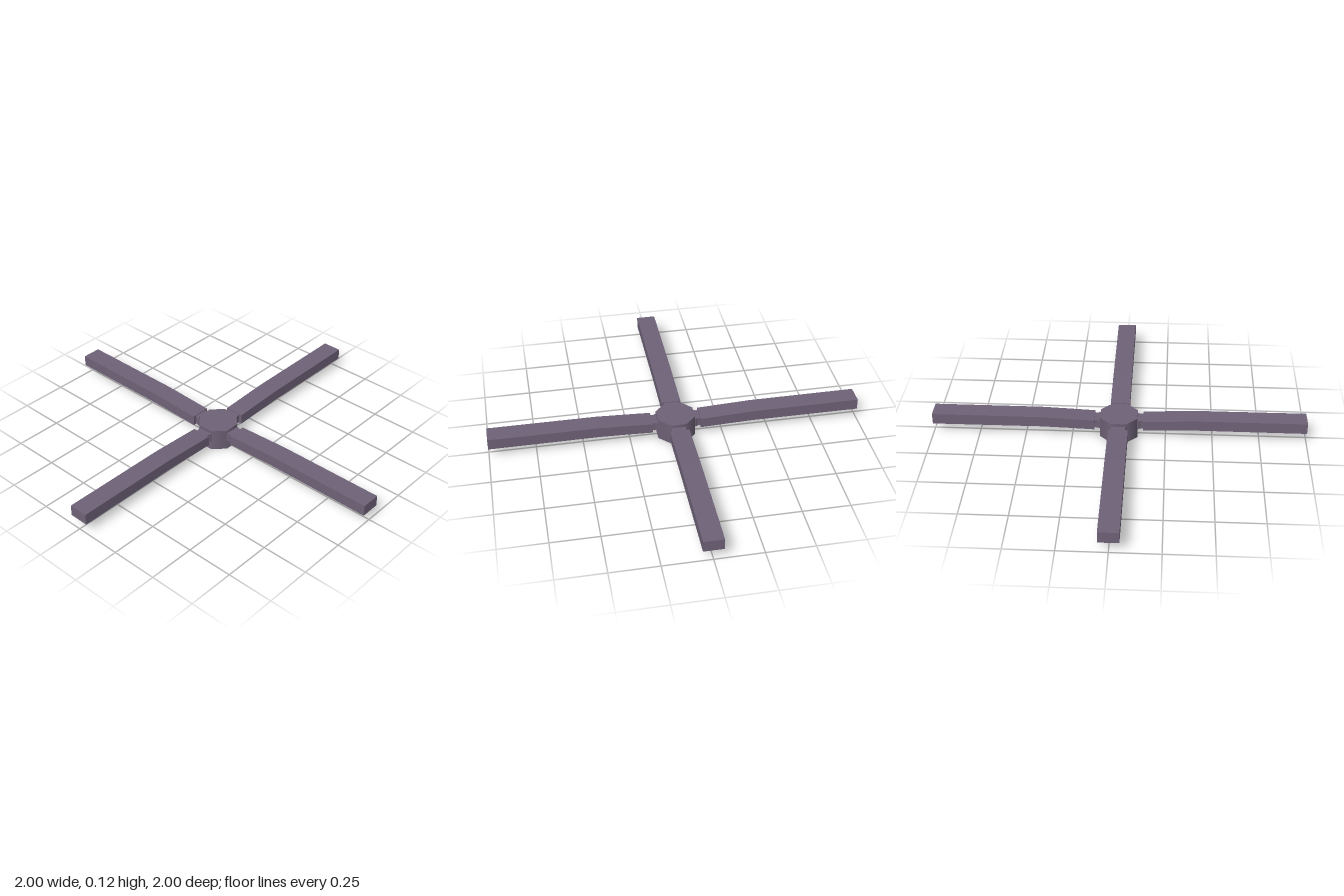
import * as THREE from 'three';

export function createModel() {
  const model = new THREE.Group();
  model.name = 'crossBase';
  const mauve = new THREE.MeshStandardMaterial({ color: 0x6e6277 });
  mauve.name = 'mauve';

  // Octagonal hub, flats facing the arms
  const hubGeometry = new THREE.CylinderGeometry(0.108, 0.108, 0.118, 8);
  hubGeometry.rotateY(Math.PI / 8);
  hubGeometry.translate(0, 0.059, 0);
  const hub = new THREE.Mesh(hubGeometry, mauve);
  hub.name = 'hub';
  model.add(hub);

  // Side profile of an arm: rises gently from the hub, then runs level
  const profile = new THREE.Shape([
    [0.13, 0.049], [0.28, 0.055], [0.42, 0.059], [1, 0.058],
    [1, 0.118], [0.42, 0.117], [0.28, 0.111], [0.13, 0.104],
  ].map(([x, y]) => new THREE.Vector2(x, y)));
  const armGeometry = new THREE.ExtrudeGeometry(profile, { depth: 0.104, bevelEnabled: false });
  armGeometry.translate(0, 0, -0.052);

  // Narrow neck joining arm and hub, flared towards the hub
  const neckShape = new THREE.Shape([
    [0.09, -0.044], [0.105, -0.042], [0.115, -0.036], [0.135, -0.036],
    [0.135, 0.036], [0.115, 0.036], [0.105, 0.042], [0.09, 0.044],
  ].map(([x, y]) => new THREE.Vector2(x, y)));
  const neckGeometry = new THREE.ExtrudeGeometry(neckShape, { depth: 0.048, bevelEnabled: false });
  neckGeometry.rotateX(-Math.PI / 2);
  neckGeometry.translate(0, 0.052, 0);

  ['left', 'back', 'right', 'front'].forEach((side, i) => {
    const limb = new THREE.Group();
    limb.name = side + 'Limb';
    const arm = new THREE.Mesh(armGeometry, mauve);
    arm.name = side + 'Arm';
    const neck = new THREE.Mesh(neckGeometry, mauve);
    neck.name = side + 'Neck';
    limb.add(arm, neck);
    limb.rotation.y = i * Math.PI / 2;
    model.add(limb);
  });
  return model;
}
